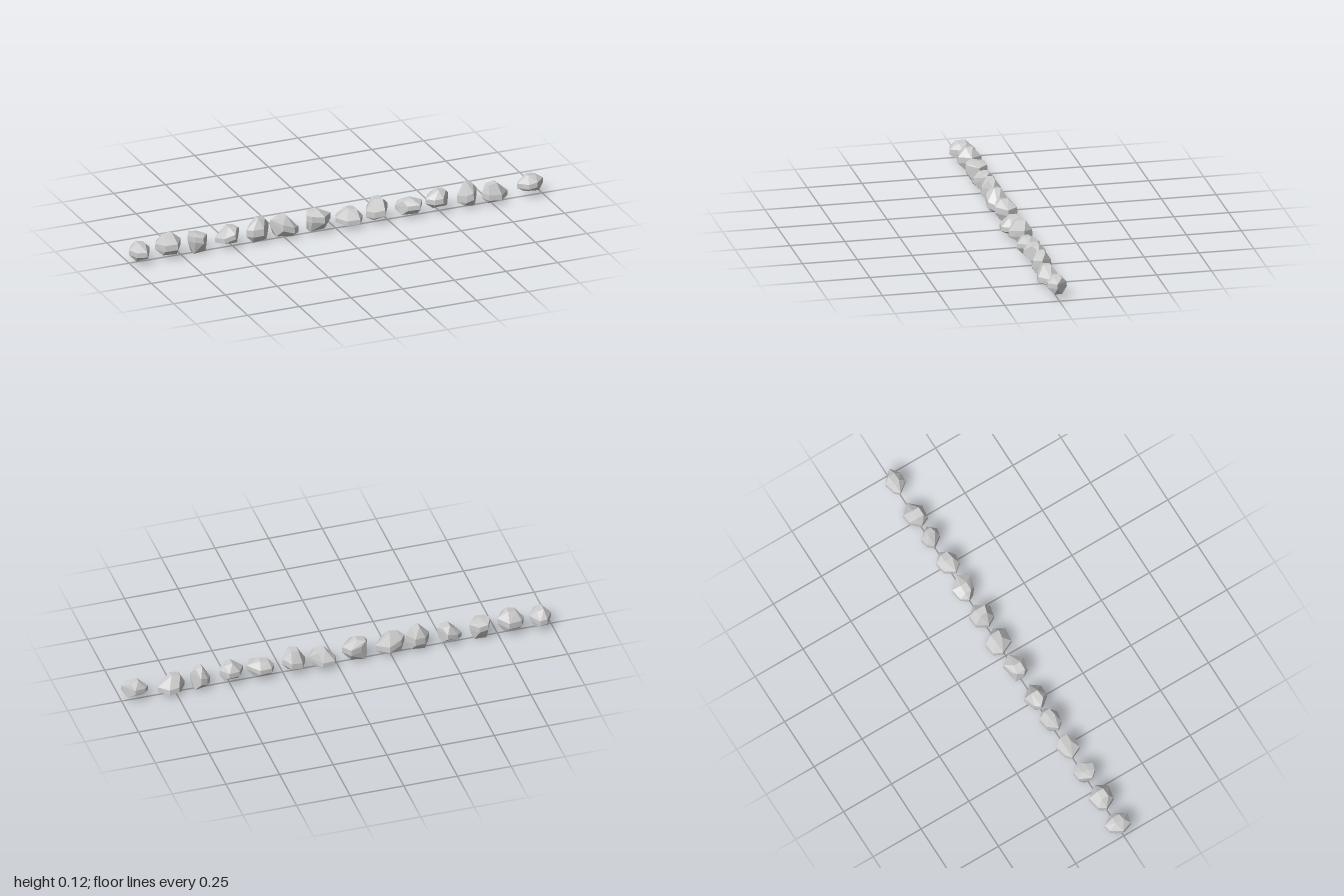
import * as THREE from 'three';
import { ConvexGeometry } from 'three/addons/geometries/ConvexGeometry.js';

const material = new THREE.MeshStandardMaterial({ color: 0xcccccc, flatShading: true });

// Small seeded generator, -1 to 1
let seed = 7;
function wobble() {
  seed = (seed * 16807) % 2147483647;
  return (seed / 2147483647) * 2 - 1;
}

// Girdle outline shared by all stones: x across, z along the depth
const girdle = [[-1, 0.1], [-0.45, -0.85], [0.4, -1], [1, -0.1], [0.25, 1], [-0.6, 0.75]];

// A faceted stone: the hull of a narrow top, a wide girdle and a smaller base.
// left and right are the girdle's heights at its ends, peak is the sideways lean of the top.
function makeStone([x, width, low, high, depth, left, right, peak], index) {
  const points = [];
  const add = (u, v, w) => points.push(new THREE.Vector3(
    THREE.MathUtils.clamp(u, -1, 1) * width / 2,
    low + THREE.MathUtils.clamp(v, 0, 1) * (high - low),
    THREE.MathUtils.clamp(w, -1, 1) * depth / 2));
  const flip = index % 2 ? -1 : 1;

  // Girdle: a band that slopes from the left height to the right height
  for (const [u, w] of girdle) {
    const middle = THREE.MathUtils.lerp(left, right, (u + 1) / 2);
    const across = Math.abs(u) === 1 ? u : u + wobble() * 0.12;
    const along = Math.abs(w) === 1 ? w : w + wobble() * 0.12;
    add(across, middle - 0.14, along * flip);
    add(across, middle + 0.14, along * flip * 0.96);
  }

  // Top and base: small skewed quads
  for (const u of [-1, 1]) {
    for (const w of [-1, 1]) {
      add(peak + u * 0.32, u * peak > 0 ? 0.92 : 1, w * 0.35 + wobble() * 0.12);
      add(peak * 0.4 + u * 0.58, u * flip > 0 ? 0.06 : 0, w * 0.42 + wobble() * 0.12);
    }
  }

  const stone = new THREE.Mesh(new ConvexGeometry(points), material);
  stone.name = `stone${index + 1}`;
  stone.position.x = x;
  return stone;
}

export function createModel() {
  const row = new THREE.Group();
  row.name = 'stoneRow';

  // x, width, low, high, depth, left height, right height, lean of the top
  const stones = [
    [-0.95, 0.1, 0.015, 0.095, 0.12, 0.45, 0.45, 0.1],
    [-0.81, 0.12, 0.015, 0.115, 0.11, 0.4, 0.5, -0.1],
    [-0.67, 0.1, 0, 0.09, 0.1, 0.85, 0.7, 0.2],
    [-0.525, 0.11, 0.02, 0.1, 0.1, 0.2, 0.65, 0.35],
    [-0.38, 0.11, 0.005, 0.12, 0.09, 0.4, 0.5, 0.25],
    [-0.25, 0.13, 0.01, 0.11, 0.1, 0.65, 0.2, -0.25],
    [-0.085, 0.12, 0.01, 0.11, 0.1, 0.65, 0.55, -0.45],
    [0.065, 0.12, 0.015, 0.09, 0.12, 0.25, 0.3, 0.15],
    [0.2, 0.11, 0.02, 0.115, 0.11, 0.25, 0.45, 0],
    [0.355, 0.125, 0.015, 0.088, 0.11, 0.45, 0.6, -0.25],
    [0.49, 0.115, 0.025, 0.107, 0.1, 0.4, 0.5, 0.3],
    [0.635, 0.09, 0.005, 0.117, 0.09, 0.3, 0.55, 0.2],
    [0.77, 0.125, 0.007, 0.096, 0.1, 0.35, 0.25, -0.3],
    [0.94, 0.12, 0.025, 0.103, 0.09, 0.35, 0.55, 0.1],
  ];
  stones.forEach((stone, i) => row.add(makeStone(stone, i)));
  return row;
}
